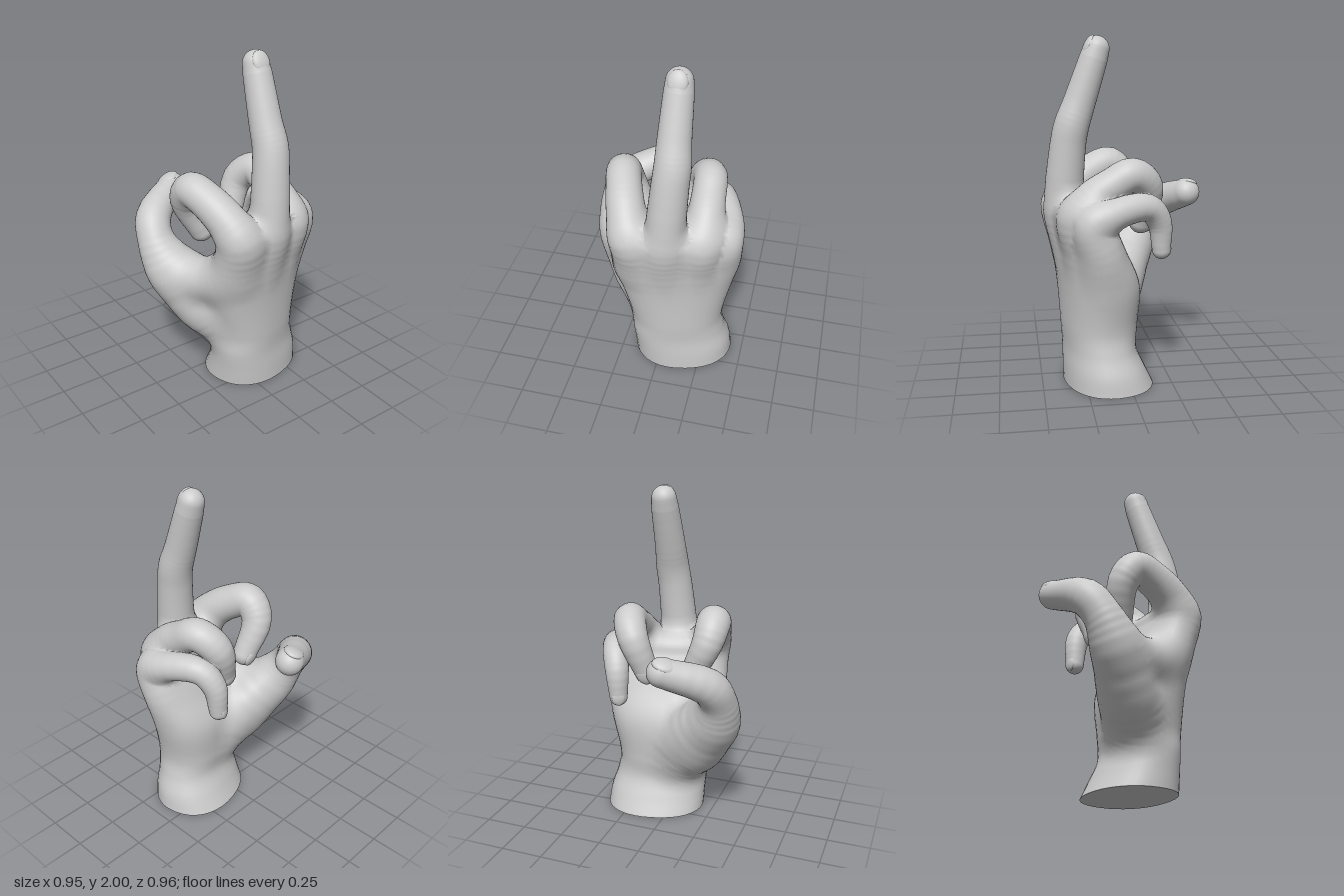
import * as THREE from 'three';

const material = new THREE.MeshStandardMaterial({ color: 0xcccccc });
const SEG = 36, POWER = 0.9, TURN = 0.26, EDGE = 0.1;
const V = (x, y, z) => new THREE.Vector3(x, y, z);

// Smooth interpolation through rows
function sampler(rows) {
  const path = new THREE.CatmullRomCurve3(rows.map(r => V(r[0], r[1], r[2])));
  const size = new THREE.CatmullRomCurve3(rows.map(r => V(r[3], r[4] ?? 0, 0)), false, 'catmullrom');
  return t => ({ p: path.getPoint(t), T: path.getTangent(t), s: size.getPoint(t) });
}

// Palm sections: [centre x, y, z, half width, half depth]
const palmAt = sampler([
  [0.125, 0, 0.115, 0.305, 0.25], [0.12, 0.1, 0.14, 0.3, 0.225],
  [0.1, 0.22, 0.165, 0.285, 0.2], [0.09, 0.35, 0.165, 0.28, 0.21],
  [0.085, 0.6, 0.17, 0.335, 0.217], [0.088, 0.8, 0.222, 0.365, 0.18],
  [0.092, 1.0, 0.276, 0.34, 0.145]]);
const palmSections = Array.from({ length: 57 }, (_, i) => palmAt(i / 56));
const palmS = V(Math.cos(TURN), 0, -Math.sin(TURN));
const palmB = V(-Math.sin(TURN), 0, -Math.cos(TURN));

// Digit: axis it bends about, then centre line with radius [x, y, z, r]
function digit(name, kind, side, rows) {
  const at = sampler(rows), n = (rows.length - 1) * 4;
  return {
    name, at, side, steps: n * 2, finger: kind === 'finger', nail: kind !== 'flesh',
    bones: Array.from({ length: n + 1 }, (_, i) => at(i / n)),
  };
}
const middle = digit('middleFinger', 'finger', V(1, 0, 0), [
  [0.06, 0.6, 0.25, 0.06], [0.05, 0.85, 0.325, 0.095], [0.055, 1.02, 0.355, 0.113],
  [0.08, 1.38, 0.332, 0.103], [0.09, 1.5, 0.31, 0.1], [0.088, 1.62, 0.268, 0.092],
  [0.092, 1.87, 0.184, 0.08], [0.092, 1.926, 0.166, 0.073]]);
const index = digit('indexFinger', 'finger', V(1, 0.35, -0.25), [
  [-0.05, 0.6, 0.24, 0.06], [-0.11, 0.85, 0.32, 0.098], [-0.145, 1.02, 0.355, 0.118],
  [-0.185, 1.125, 0.275, 0.112], [-0.225, 1.205, 0.16, 0.104], [-0.255, 1.24, 0.05, 0.1],
  [-0.245, 1.145, -0.025, 0.09], [-0.15, 0.94, -0.015, 0.07]]);
const ringFinger = digit('ringFinger', 'finger', V(1, -0.3, -0.15), [
  [0.17, 0.6, 0.21, 0.06], [0.23, 0.85, 0.265, 0.095], [0.25, 0.99, 0.29, 0.112],
  [0.255, 1.1, 0.215, 0.106], [0.25, 1.18, 0.1, 0.098], [0.238, 1.235, -0.015, 0.096],
  [0.182, 1.155, -0.11, 0.09], [0.107, 0.945, -0.085, 0.07]]);
const little = digit('littleFinger', 'finger', V(1, 0, -0.4), [
  [0.29, 0.58, 0.15, 0.06], [0.36, 0.82, 0.185, 0.085], [0.38, 0.965, 0.22, 0.092],
  [0.38, 1.025, 0.14, 0.087], [0.3, 1.06, -0.09, 0.077], [0.262, 0.97, -0.165, 0.07],
  [0.248, 0.805, -0.18, 0.053]]);
const thumb = digit('thumb', 'thumb', V(0.39, 0.3, 0.64), [
  [0.0, 0.26, 0.12, 0.1], [-0.09, 0.36, 0.09, 0.135], [-0.195, 0.47, 0.03, 0.152],
  [-0.345, 0.73, -0.11, 0.125], [-0.362, 0.87, -0.185, 0.107],
  [-0.325, 0.975, -0.262, 0.104], [-0.105, 1.075, -0.4, 0.082]]);
const thumbBall = digit('thumbBall', 'flesh', V(1, 0.3, 0.2), [
  [0.03, 0.32, 0.11, 0.1], [-0.1, 0.54, 0.01, 0.135], [-0.3, 0.76, -0.1, 0.09]]);
const thumbWeb = digit('thumbWeb', 'flesh', V(0, 1, 0), [
  [-0.32, 0.68, -0.07, 0.1], [-0.2, 0.71, 0.15, 0.11], [-0.12, 0.76, 0.25, 0.1]]);
const fingers = [middle, index, ringFinger, little];
const thumbParts = [thumb, thumbBall, thumbWeb];

// Distance to the palm: section outline with a rounded upper rim
function palmDistance(q) {
  const last = palmSections.length - 1, top = palmSections[last].p.y;
  const y = Math.min(Math.max(q.y, 0), top);
  let i = 1;
  while (i < last && palmSections[i].p.y < y) i++;
  const A = palmSections[i - 1], C = palmSections[i];
  const h = (y - A.p.y) / (C.p.y - A.p.y), mix = (m, n) => m + (n - m) * h;
  const x = q.x - mix(A.p.x, C.p.x), z = q.z - mix(A.p.z, C.p.z);
  const a = mix(A.s.x, C.s.x), b = mix(A.s.y, C.s.y);
  const u = Math.abs(x * palmS.x + z * palmS.z), v = Math.abs(x * palmB.x + z * palmB.z);
  const n = 2 / POWER, k = ((u / a) ** n + (v / b) ** n) ** (1 / n) + 1e-6;
  const d = (k - 1) * k / (Math.hypot(u / a / a, v / b / b) + 1e-6);
  const e = d + EDGE, f = q.y - top;
  return Math.hypot(Math.max(e, 0), Math.max(f, 0)) + Math.min(Math.max(e, f), 0) - EDGE;
}

// Distance to a chain of tapered bones
function digitDistance(q, bones) {
  let best = Infinity;
  for (let i = 1; i < bones.length; i++) {
    const a = bones[i - 1], b = bones[i];
    const x = b.p.x - a.p.x, y = b.p.y - a.p.y, z = b.p.z - a.p.z;
    const X = q.x - a.p.x, Y = q.y - a.p.y, Z = q.z - a.p.z;
    const h = Math.min(Math.max((x * X + y * Y + z * Z) / (x * x + y * y + z * z), 0), 1);
    const l = Math.sqrt((X - h * x) ** 2 + (Y - h * y) ** 2 + (Z - h * z) ** 2);
    best = Math.min(best, l - a.s.x - (b.s.x - a.s.x) * h);
  }
  return best;
}

const blend = (a, b, k) => Math.min(a, b) - Math.max(k - Math.abs(a - b), 0) ** 2 / (4 * k);

// Skin rule: thumb parts melt into the palm, each finger into that body
function skin(q) {
  let body = palmDistance(q);
  for (const d of thumbParts) body = blend(body, digitDistance(q, d.bones), 0.1);
  return Math.min(...fingers.map(d => blend(body, digitDistance(q, d.bones), 0.08)));
}

function skinNormal(q) {
  const e = 0.004, g = V(0, 0, 0), t = V(0, 0, 0);
  for (const axis of ['x', 'y', 'z']) {
    t.copy(q)[axis] += e;
    g[axis] = skin(t);
    t[axis] -= 2 * e;
    g[axis] -= skin(t);
  }
  return g.normalize();
}

// One closed cross-section
function ring(center, S, B, w, d, power = 1) {
  return Array.from({ length: SEG }, (_, j) => {
    const a = (j / SEG) * Math.PI * 2, c = Math.cos(a), s = Math.sin(a);
    return center.clone()
      .addScaledVector(S, Math.sign(c) * Math.abs(c) ** power * w)
      .addScaledVector(B, Math.sign(s) * Math.abs(s) ** power * d);
  });
}

// Loft through cross-sections, with vertices near the surface drawn onto the skin
function loft(name, rings) {
  const pos = [], nor = [], idx = [];
  for (const p of rings.flat()) {
    let n = skinNormal(p);
    for (let pass = 0; pass < 2 && p.y > 0.02; pass++) {
      const f = skin(p);
      if (f < -0.06) break;
      p.addScaledVector(n, -f);
      n = skinNormal(p);
    }
    pos.push(p.x, p.y, p.z);
    nor.push(n.x, n.y, n.z);
  }
  for (let i = 0; i < rings.length - 1; i++) for (let j = 0; j < SEG; j++) {
    const k = (j + 1) % SEG, a = i * SEG + j, b = i * SEG + k;
    idx.push(a, b, a + SEG, b, b + SEG, a + SEG);
  }
  const g = new THREE.BufferGeometry();
  g.setAttribute('position', new THREE.Float32BufferAttribute(pos, 3));
  g.setAttribute('normal', new THREE.Float32BufferAttribute(nor, 3));
  g.setIndex(idx);
  const mesh = new THREE.Mesh(g, material);
  mesh.name = name;
  return mesh;
}

// Sweep with a rounded end, and a nail on the back of the tip
function buildDigit({ name, at, side, steps, nail }) {
  const rings = [];
  let p, T, B, S, r;
  for (let i = 0; i <= steps; i++) {
    const f = at(i / steps);
    p = f.p; T = f.T; r = f.s.x;
    B = T.clone().cross(side).normalize();
    S = B.clone().cross(T);
    rings.push(ring(p, S, B, r, r));
  }
  for (let i = 1; i <= 10; i++) {
    const a = (i / 10) * 1.565, c = r * Math.cos(a);
    rings.push(ring(p.clone().addScaledVector(T, Math.sin(a) * r), S, B, c, c));
  }
  const group = new THREE.Group();
  group.name = name;
  group.add(loft(name + 'Flesh', rings));
  if (nail) {
    const m = new THREE.Mesh(new THREE.SphereGeometry(1, 28, 18), material);
    m.name = name + 'Nail';
    const D = B.clone().negate().addScaledVector(T, 0.14).normalize();
    const L = D.clone().cross(S).normalize();
    m.matrixAutoUpdate = false;
    m.matrix.makeBasis(S.clone().multiplyScalar(r * 0.74), L.multiplyScalar(r * 0.9), D.multiplyScalar(r * 0.36));
    m.matrix.setPosition(p.clone().addScaledVector(B, -r * 0.67));
    group.add(m);
  }
  return group;
}

// Wrist and palm, rounded over at the top and cut flat at the bottom
function buildPalm() {
  const rings = palmSections.map(f => ring(f.p, palmS, palmB, f.s.x, f.s.y, POWER));
  const { p, s } = palmSections[palmSections.length - 1];
  const cut = new THREE.Shape(rings[0].map(q => new THREE.Vector2(q.x, q.z)));
  const addRing = (y, w, d) => rings.push(ring(p.clone().setY(p.y + y), palmS, palmB, w, d, POWER));
  for (let i = 1; i <= 8; i++) {
    const a = (i / 8) * Math.PI / 2, inset = EDGE * (1 - Math.cos(a));
    addRing(EDGE * Math.sin(a), s.x - inset, s.y - inset);
  }
  for (const k of [0.75, 0.5, 0.25, 0.01]) addRing(EDGE, (s.x - EDGE) * k, (s.y - EDGE) * k);
  const base = new THREE.Mesh(new THREE.ShapeGeometry(cut).rotateX(Math.PI / 2), material);
  base.name = 'wristCut';
  return [loft('palm', rings), base];
}

export function createModel() {
  const hand = new THREE.Group();
  hand.name = 'hand';
  hand.add(...buildPalm(), ...[...fingers, ...thumbParts].map(buildDigit));
  return hand;
}
